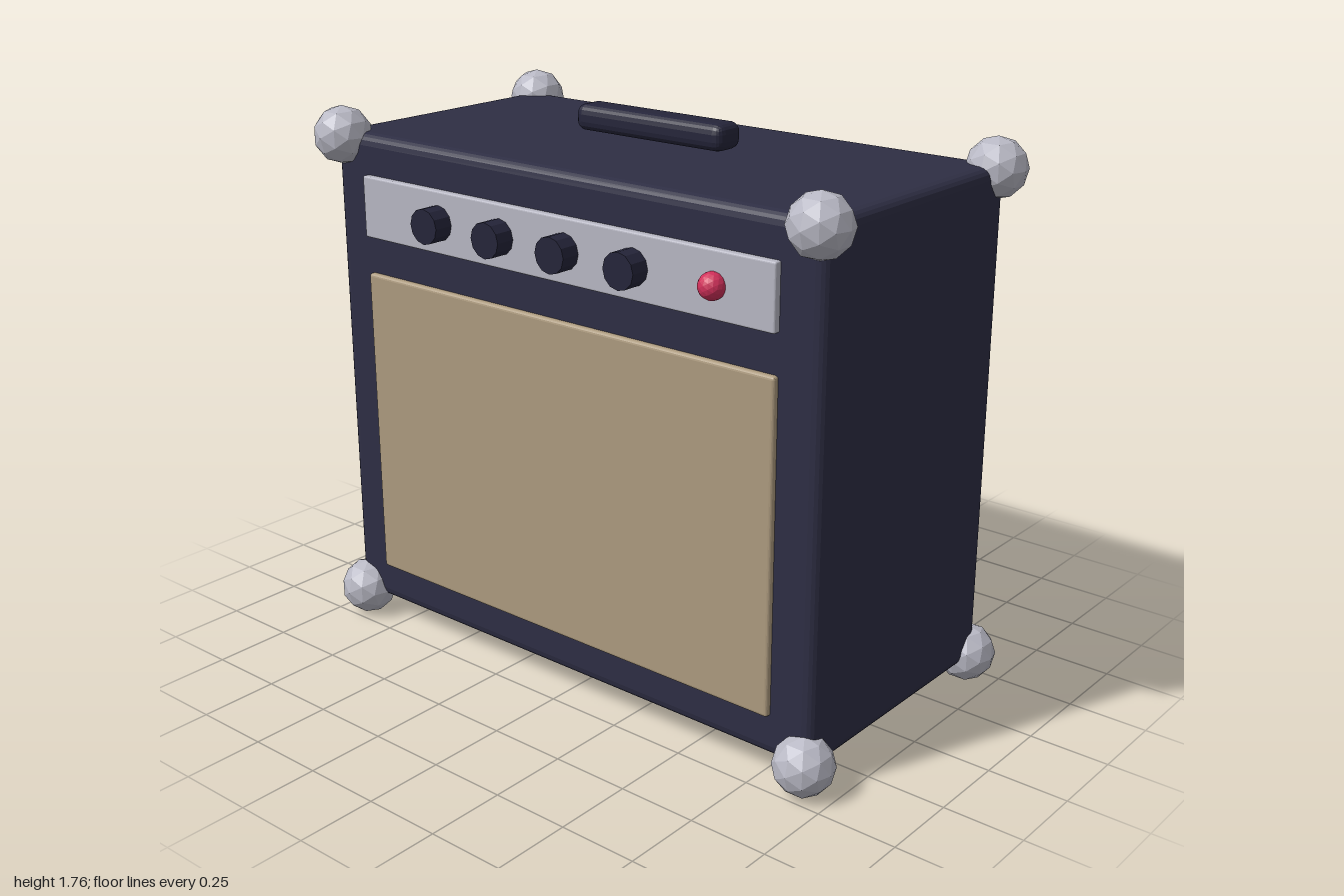
import * as THREE from 'three';
import { RoundedBoxGeometry } from 'three/addons/geometries/RoundedBoxGeometry.js';

const material = (name, color) => {
  const m = new THREE.MeshStandardMaterial({ color, flatShading: true });
  m.name = name;
  return m;
};

export function createModel() {
  const group = new THREE.Group();
  group.name = 'amplifier';

  const navy = material('navy covering', 0x2e2e44);
  const dark = material('dark plastic', 0x25253a);
  const silver = material('silver metal', 0xb8b8c4);
  const cloth = material('tan cloth', 0xad9b7f);
  const red = material('red lamp', 0xd0305a);

  const add = (name, geometry, mat, x, y, z) => {
    const mesh = new THREE.Mesh(geometry, mat);
    mesh.name = name;
    mesh.position.set(x, y, z);
    group.add(mesh);
    return mesh;
  };
  const bevelBox = (w, h, d, r) => new RoundedBoxGeometry(w, h, d, 2, r);

  // Cabinet and the handle above it
  add('cabinet', bevelBox(1.87, 1.585, 0.9, 0.035), navy, 0, 0.87, 0);
  add('handle', bevelBox(0.565, 0.082, 0.112, 0.03), dark, 0, 1.722, -0.002);

  // Front plates
  add('controlPanel', bevelBox(1.585, 0.195, 0.05, 0.006), silver, 0, 1.44, 0.447);
  add('speakerCloth', bevelBox(1.585, 1.015, 0.05, 0.01), cloth, 0, 0.716, 0.443);

  // Knobs
  const knob = new THREE.CylinderGeometry(0.055, 0.055, 0.08, 12).rotateX(Math.PI / 2);
  for (let i = 0; i < 4; i++) {
    add('knob' + (i + 1), knob, dark, -0.458 + i * 0.2555, 1.44, 0.495);
  }

  // Power lamp
  add('powerLamp', new THREE.IcosahedronGeometry(0.04, 2), red, 0.593, 1.44, 0.482);

  // Ball protectors on all eight corners
  const ball = new THREE.IcosahedronGeometry(0.0925, 1);
  for (const x of [-1, 1])
    for (const y of [0.0925, 1.6475])
      for (const z of [-1, 1]) add('cornerBall', ball, silver, x * 0.9075, y, z * 0.4425);

  return group;
}
